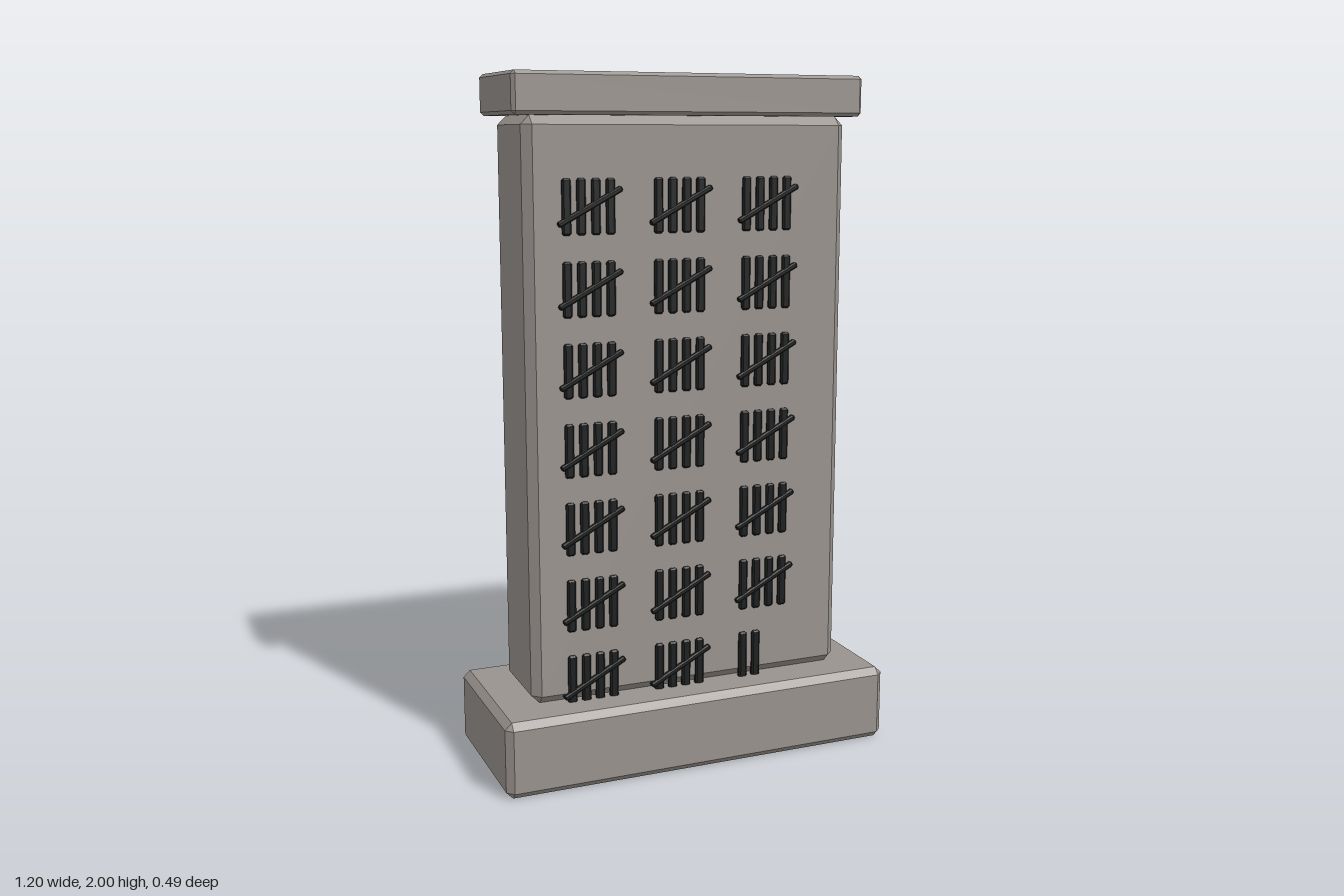
import * as THREE from 'three';
import { ConvexGeometry } from 'three/addons/geometries/ConvexGeometry.js';

// Box with flat bevels of size c on every edge
function chamferedBox(w, h, d, c) {
  const half = [w / 2, h / 2, d / 2];
  const points = [];
  for (const sx of [-1, 1]) for (const sy of [-1, 1]) for (const sz of [-1, 1]) {
    for (let axis = 0; axis < 3; axis++) {
      const p = half.map((v, i) => (i === axis ? v : v - c));
      points.push(new THREE.Vector3(sx * p[0], sy * p[1], sz * p[2]));
    }
  }
  return new ConvexGeometry(points);
}

export function createModel() {
  const stone = new THREE.MeshStandardMaterial({ color: 0x98928d });
  stone.name = 'stone';
  const ink = new THREE.MeshStandardMaterial({ color: 0x1d1e1f });
  ink.name = 'charcoal';

  const model = new THREE.Group();
  model.name = 'tallyStone';

  function add(parent, name, geometry, material, x, y, z) {
    const mesh = new THREE.Mesh(geometry, material);
    mesh.name = name;
    mesh.position.set(x, y, z);
    parent.add(mesh);
    return mesh;
  }

  // Plinth, upright slab and capstone
  add(model, 'base', chamferedBox(1.2, 0.225, 0.49, 0.02), stone, 0, 0.1125, 0);
  add(model, 'slab', chamferedBox(0.976, 1.66, 0.272, 0.025), stone, 0, 1.055, 0);
  add(model, 'cap', chamferedBox(1.05, 0.115, 0.326, 0.01), stone, 0, 1.9425, 0);

  // Tally marks: seven rows of three groups on each face
  const strokeGeometry = chamferedBox(0.026, 0.154, 0.018, 0.005);
  const slashGeometry = chamferedBox(0.21, 0.016, 0.024, 0.004);
  const faceZ = 0.136;

  for (const side of [1, -1]) {
    for (let row = 0; row < 7; row++) {
      for (let col = 0; col < 3; col++) {
        const tally = new THREE.Group();
        tally.name = side > 0 ? 'frontTally' : 'backTally';
        tally.position.set(-0.307 + col * 0.27, 1.64 - row * 0.2256, side * faceZ);
        model.add(tally);

        // The last group on the front is unfinished
        const unfinished = side > 0 && row === 6 && col === 2;
        for (let i = 0; i < (unfinished ? 2 : 4); i++) {
          add(tally, 'stroke', strokeGeometry, ink, (i - 1.5) * 0.0425, 0, 0);
        }
        if (!unfinished) {
          add(tally, 'slash', slashGeometry, ink, 0.004, 0, 0).rotation.z = 0.49;
        }
      }
    }
  }
  return model;
}
